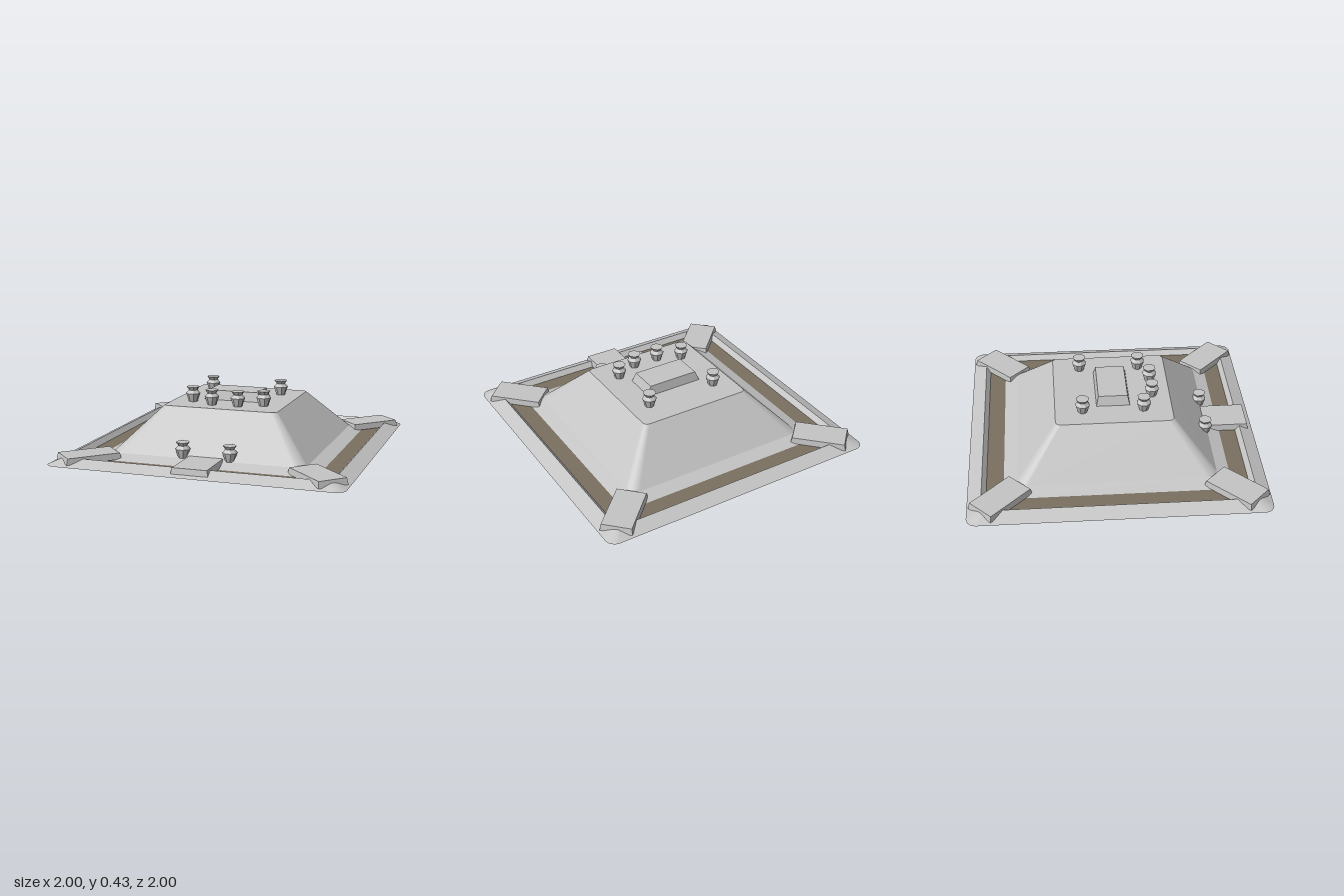
import * as THREE from 'three';

const stone = new THREE.MeshStandardMaterial({ name: 'greyStone', color: 0xc4c4c4, side: THREE.DoubleSide });
const mud = new THREE.MeshStandardMaterial({ name: 'brownMoat', color: 0x7a7060, side: THREE.DoubleSide });

// Rounded-square loop, anticlockwise seen from above
function loop([half, y, r]) {
  const pts = [], c = half - r, seg = 6;
  for (let q = 0; q < 4; q++) {
    const mid = Math.PI / 4 + q * Math.PI / 2;
    const cx = c * Math.sign(Math.cos(mid)), cz = -c * Math.sign(Math.sin(mid));
    for (let i = 0; i <= seg; i++) {
      const a = q * Math.PI / 2 + i / seg * Math.PI / 2;
      pts.push([cx + r * Math.cos(a), y, cz - r * Math.sin(a)]);
    }
  }
  return pts;
}

// Surface between an outer and an inner loop
function band(outer, inner) {
  const a = loop(outer), b = loop(inner), n = a.length, index = [];
  for (let i = 0; i < n; i++) {
    const j = (i + 1) % n;
    index.push(i, j, n + j, i, n + j, n + i);
  }
  const g = new THREE.BufferGeometry();
  g.setAttribute('position', new THREE.Float32BufferAttribute([...a, ...b].flat(), 3));
  g.setIndex(index);
  g.computeVertexNormals();
  return g;
}

// Box standing on y = 0 whose bottom is wider than its top by `flare` on each side
function taperedBox(w, h, d, flareX, flareZ) {
  const g = new THREE.BoxGeometry(w, h, d).toNonIndexed();
  g.translate(0, h / 2, 0);
  const p = g.attributes.position;
  for (let i = 0; i < p.count; i++) {
    if (p.getY(i) > h / 2) continue;
    p.setX(i, p.getX(i) + Math.sign(p.getX(i)) * flareX);
    p.setZ(i, p.getZ(i) + Math.sign(p.getZ(i)) * flareZ);
  }
  g.computeVertexNormals();
  return g;
}

export function createModel() {
  const model = new THREE.Group();
  model.name = 'moatedMound';
  const add = (name, geometry, material, x = 0, y = 0, z = 0, turn = 0) => {
    const m = new THREE.Mesh(geometry, material);
    m.name = name;
    m.position.set(x, y, z);
    m.rotation.y = turn;
    model.add(m);
  };

  // Open shell, from the rim to the platform: [half width, height, corner radius]
  const rings = [
    [1, 0, 0.07], [0.905, 0.043, 0.03], [0.875, 0.008, 0.02], [0.76, 0.008, 0.02],
    [0.67, 0.04, 0.07], [0.4, 0.325, 0.035], [0, 0.325, 0],
  ];
  const names = ['outerSlope', 'ridgeInnerSlope', 'moat', 'innerBank', 'moundWalls', 'platform'];
  names.forEach((name, i) => add(name, band(rings[i], rings[i + 1]), name === 'moat' ? mud : stone));

  // Raised block on the platform
  add('topBlock', taperedBox(0.36, 0.067, 0.2, 0.025, 0.015), stone, 0, 0.323, 0);

  // Bridges over the moat
  add('frontBridge', taperedBox(0.235, 0.043, 0.31, 0.008, 0.008), stone, 0, 0.012, 0.805);
  const cornerBridge = taperedBox(0.2, 0.043, 0.36, 0.006, 0.01);
  for (const sx of [-1, 1]) for (const sz of [-1, 1])
    add('cornerBridge', cornerBridge, stone, sx * 0.78, 0.012, sz * 0.78, Math.atan2(sx, sz));

  // Eight-sided urns
  const profile = [[0, 0], [0.03, 0], [0.05, 0.06], [0.03, 0.082], [0.045, 0.105], [0, 0.105]];
  const urn = new THREE.LatheGeometry(profile.map(p => new THREE.Vector2(...p)), 8, Math.PI / 8).toNonIndexed();
  urn.computeVertexNormals();
  const spots = [[0.255, 0.323, -0.212], [0.255, 0.323, 0.205], [0.093, 0.323, 0.275], [0.163, 0.04, 0.65]];
  for (const [x, y, z] of spots) for (const s of [-1, 1]) add('urn', urn, stone, s * x, y, z);

  return model;
}
